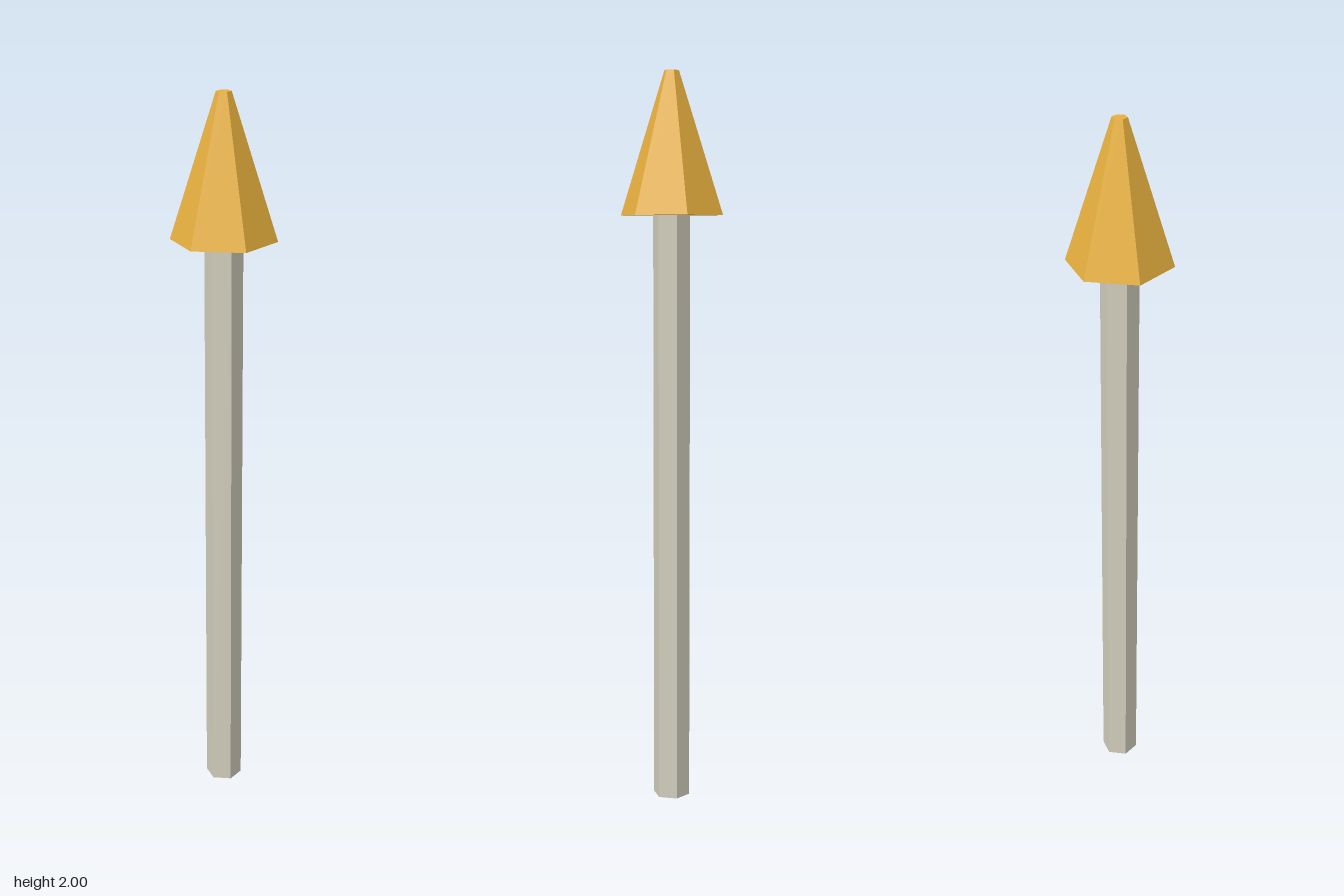
import * as THREE from 'three';

// Six-sided flat-shaded prism or frustum standing on height y0
function hexPart(name, topRadius, bottomRadius, y0, y1, color) {
  const geometry = new THREE.CylinderGeometry(topRadius, bottomRadius, y1 - y0, 6);
  geometry.translate(0, (y0 + y1) / 2, 0);
  const material = new THREE.MeshStandardMaterial({ color, flatShading: true });
  const mesh = new THREE.Mesh(geometry, material);
  mesh.name = name;
  return mesh;
}

export function createModel() {
  const model = new THREE.Group();
  model.name = 'hexagonalSpike';
  // Slender straight shaft
  model.add(hexPart('shaft', 0.051, 0.051, 0, 1.62, 0xd2cfbe));
  // Blunt-tipped tapered head
  model.add(hexPart('head', 0.02, 0.141, 1.62, 2, 0xe8b13f));
  return model;
}
